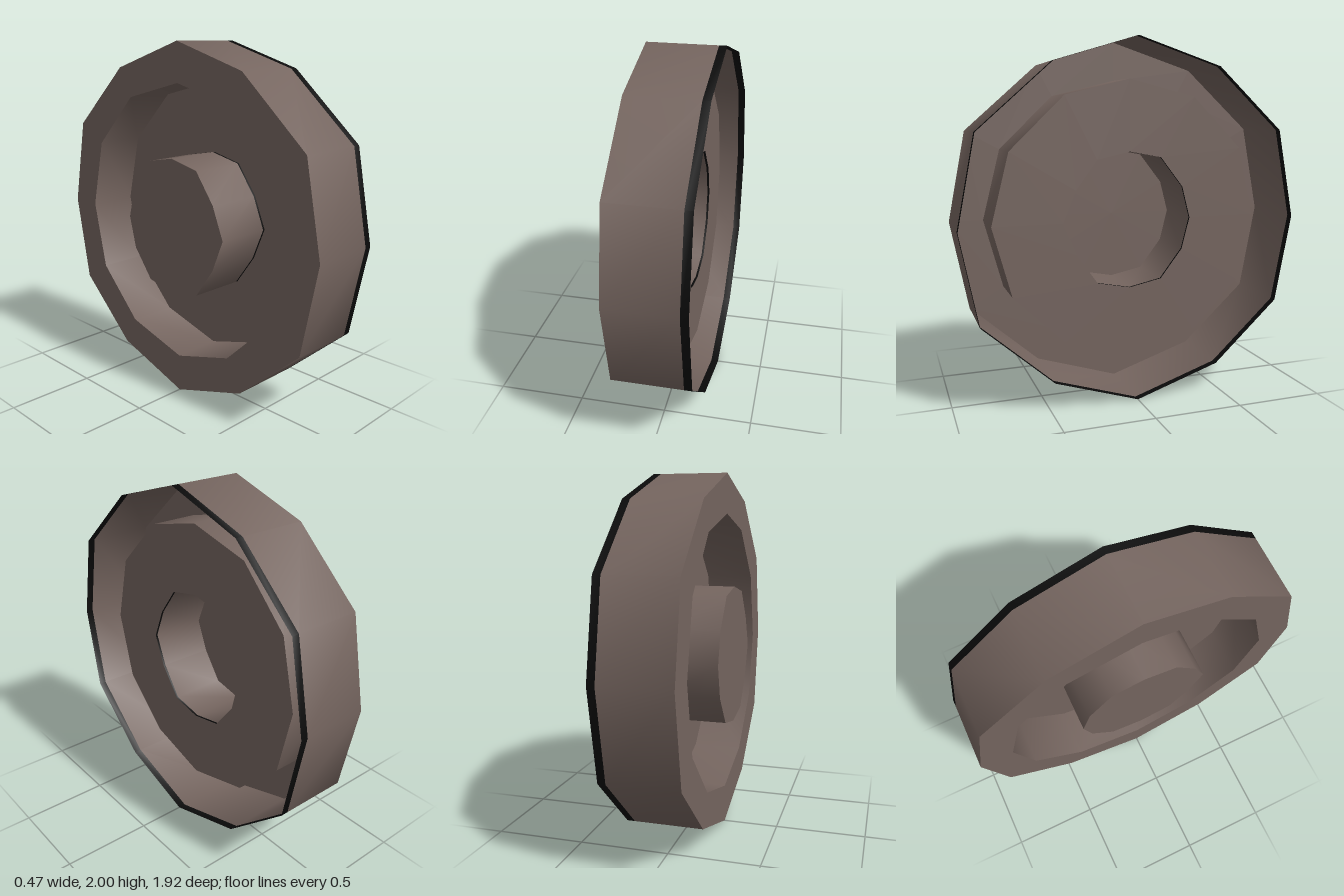
import * as THREE from 'three';

const brown = new THREE.MeshStandardMaterial({ color: 0x75655f, side: THREE.DoubleSide });
brown.name = 'wheelBrown';
const black = new THREE.MeshStandardMaterial({ color: 0x0a0a0a, side: THREE.DoubleSide });
black.name = 'edgeBlack';

// Slightly uneven twelve-sided rings, as [z, y] about the axle, starting at the top
const outer = [[0, 1], [0.46, 0.86], [0.865, 0.5], [0.963, 0], [0.865, -0.5], [0.475, -0.845],
  [0, -1], [-0.485, -0.845], [-0.865, -0.5], [-0.962, 0], [-0.865, 0.5], [-0.48, 0.85]];
const middle = [[0, 0.783], [0.37, 0.692], [0.675, 0.395], [0.775, 0], [0.67, -0.39], [0.38, -0.67],
  [0, -0.783], [-0.4, -0.675], [-0.683, -0.39], [-0.772, 0], [-0.68, 0.395], [-0.39, 0.687]];
const hub = [[0, 0.385], [0.19, 0.343], [0.312, 0.178], [0.385, 0], [0.312, -0.178], [0.19, -0.347],
  [0, -0.385], [-0.19, -0.347], [-0.32, -0.18], [-0.367, 0], [-0.32, 0.18], [-0.187, 0.35]];
const centre = hub.map(() => [0, 0]);

export function createModel() {
  const wheel = new THREE.Group();
  wheel.name = 'wheel';

  // Joins ring a at xa to ring b at xb with one smooth band
  function band(name, a, xa, b, xb, material) {
    const n = a.length;
    const points = [
      ...a.map(([z, y]) => new THREE.Vector3(xa, y + 1, z)),
      ...b.map(([z, y]) => new THREE.Vector3(xb, y + 1, z)),
    ];
    const index = [];
    for (let i = 0; i < n; i++) {
      const j = (i + 1) % n;
      index.push(i, j, n + i, j, n + j, n + i);
    }
    const geometry = new THREE.BufferGeometry().setFromPoints(points);
    geometry.setIndex(index);
    geometry.computeVertexNormals();
    const mesh = new THREE.Mesh(geometry, material);
    mesh.name = name;
    wheel.add(mesh);
  }

  const cap = -0.236, face = -0.19, disc = 0.095;

  // Tread, open on the left, with a dark lip
  band('tread', outer, face, outer, 0.19, brown);
  band('treadLip', outer, 0.19, outer, 0.232, black);
  // Face ring and the step down to the recessed disc
  band('faceRing', middle, face, outer, face, brown);
  band('recessWall', middle, face, middle, disc, brown);
  band('recessDisc', hub, disc, middle, disc, brown);
  // Hollow hub standing out of the disc
  band('hubWall', hub, cap, hub, disc - 0.012, brown);
  band('hubSeam', hub, disc - 0.012, hub, disc, black);
  band('hubCap', centre, cap, hub, cap, brown);

  return wheel;
}
